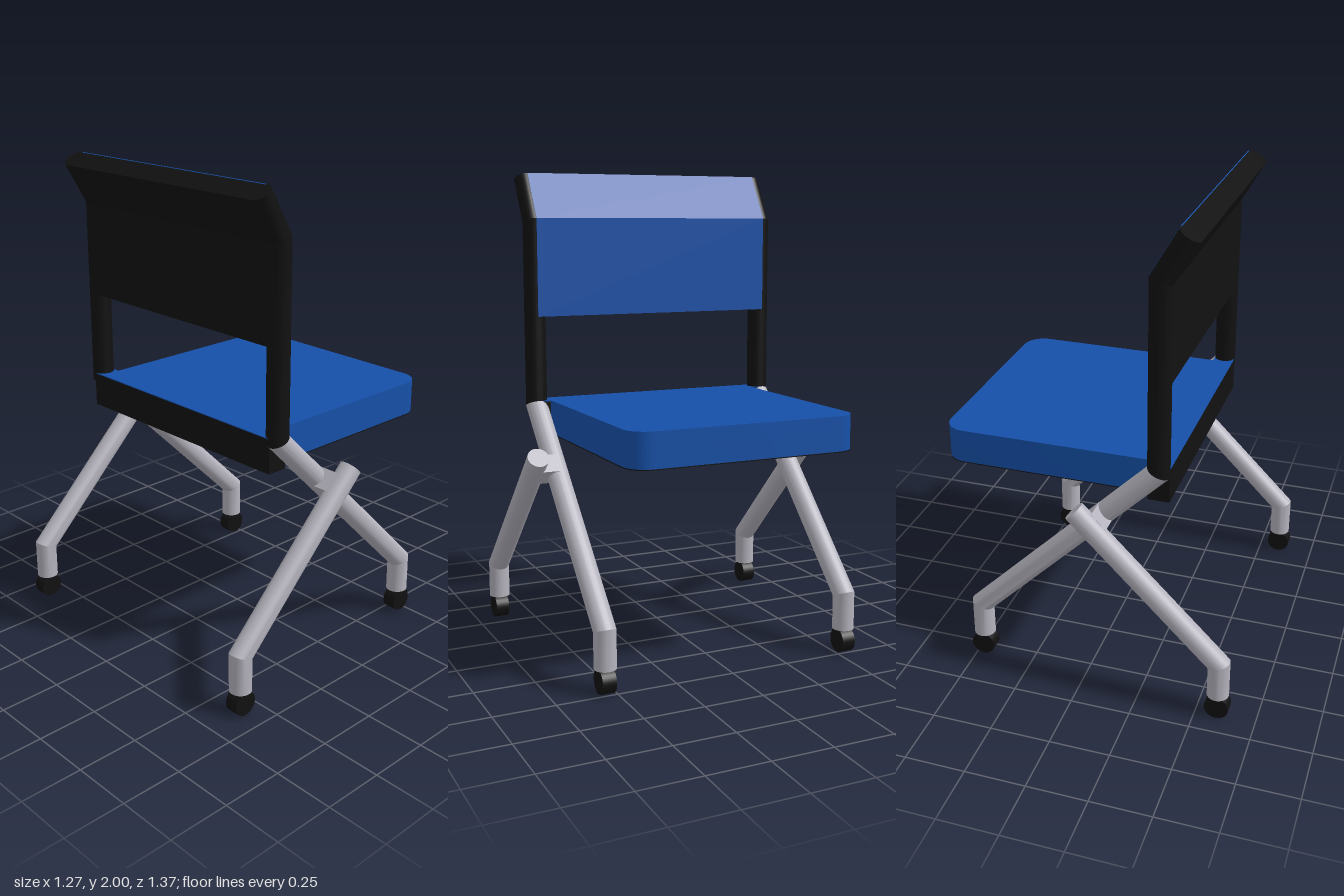
import * as THREE from 'three';
import { toCreasedNormals } from 'three/addons/utils/BufferGeometryUtils.js';

const mat = (color) => new THREE.MeshStandardMaterial({ color });
const metal = mat(0xb4b2bc), black = mat(0x111111), blue = mat(0x1650a8);

// Sweep a convex section [u, z] along a mitred path in the XY plane,
// keeping only the stretch between path points "from" and "to".
function sweep(path, section, from = 0, to = path.length - 1) {
  const dir = (i) => new THREE.Vector2(...path[i + 1]).sub(new THREE.Vector2(...path[i])).normalize();
  const pos = [], idx = [], n = section.length;
  for (let i = from; i <= to; i++) {
    const a = dir(Math.max(i - 1, 0)), b = dir(Math.min(i, path.length - 2));
    const t = a.clone().add(b).normalize();
    const k = 1 / t.dot(a);
    for (const [u, z] of section) pos.push(path[i][0] + t.y * u * k, path[i][1] - t.x * u * k, z);
  }
  const last = (to - from) * n;
  for (let j = 0; j < n; j++) {
    const q = (j + 1) % n;
    for (let o = 0; o < last; o += n) idx.push(o + j, o + n + j, o + q, o + q, o + n + j, o + n + q);
    if (j > 0 && q > 0) idx.push(0, j, q, last, last + q, last + j);
  }
  const g = new THREE.BufferGeometry();
  g.setAttribute('position', new THREE.Float32BufferAttribute(pos, 3));
  g.setIndex(idx);
  return toCreasedNormals(g, 0.35);
}

const circle = (r, z, n = 32) => Array.from({ length: n }, (_, i) => {
  const a = (i / n) * Math.PI * 2;
  return [r * Math.cos(a), z + r * Math.sin(a)];
});
const slab = (u0, u1, w) => [[u1, -w], [u1, w], [u0, w], [u0, -w]];

export function createModel() {
  const group = new THREE.Group();
  const add = (name, geometry, material, x = 0, y = 0, z = 0) => {
    const m = new THREE.Mesh(geometry, material);
    m.name = name;
    m.position.set(x, y, z);
    group.add(m);
    return m;
  };

  const R = 0.045, postZ = 0.54, rearZ = 0.64;
  const bend = [-0.302, 1.8], top = [-0.406, 1.978];
  const mainPath = [[0.47, 0.1], [0.47, 0.25], [-0.302, 1.022], bend, top];
  const rearPath = [[-0.59, 0.1], [-0.59, 0.25], [0.01, 0.85]];

  // Tubular frame, mirrored on both sides
  for (const s of [1, -1]) {
    const side = s > 0 ? 'left' : 'right';
    add(side + 'FrontLeg', sweep(mainPath, circle(R, s * postZ), 0, 2), metal);
    add(side + 'BackPost', sweep(mainPath, circle(R, s * postZ), 2, 4), black);
    add(side + 'RearLeg', sweep(rearPath, circle(R, s * rearZ)), metal);
    // Block joining the crossing legs
    add(side + 'LegJoint', new THREE.BoxGeometry(0.085, 0.085, 0.1), metal, -0.06, 0.785, s * 0.59)
      .rotation.z = Math.PI / 4;
    // Wheels
    for (const [name, x, z] of [['FrontWheel', 0.47, postZ], ['RearWheel', -0.59, rearZ]])
      add(side + name, new THREE.CylinderGeometry(0.05, 0.05, 0.058, 32).rotateX(Math.PI / 2), black, x, 0.05, s * z);
  }

  // Backrest: dark shell with a coloured front pad
  const backPath = [[-0.302, 1.4], bend, top];
  add('backrestShell', sweep(backPath, slab(-R, R - 0.003, postZ)), black);
  add('backrestPad', sweep(backPath, slab(R - 0.003, R + 0.001, postZ)), blue);

  // Seat cushion with rounded front corners
  const back = -0.258, front = 0.63, w = 0.49, r = 0.09;
  const outline = new THREE.Shape();
  outline.moveTo(back, -w);
  outline.lineTo(front - r, -w);
  outline.absarc(front - r, -w + r, r, -Math.PI / 2, 0, false);
  outline.absarc(front - r, w - r, r, 0, Math.PI / 2, false);
  outline.lineTo(back, w);
  const plate = (depth) => toCreasedNormals(
    new THREE.ExtrudeGeometry(outline, { depth, bevelEnabled: false, curveSegments: 12 }).rotateX(Math.PI / 2), 0.5);
  add('seatCushion', plate(0.142), blue, 0, 1.04, 0);
  add('seatBase', plate(0.004), black, 0, 0.898, 0);

  // Rear seat rail between the posts
  add('seatRail', new THREE.BoxGeometry(0.088, 0.142, 2 * postZ), black, -0.302, 0.965, 0);
  add('seatRailTop', new THREE.BoxGeometry(0.088, 0.004, 2 * postZ), blue, -0.302, 1.038, 0);

  return group;
}
